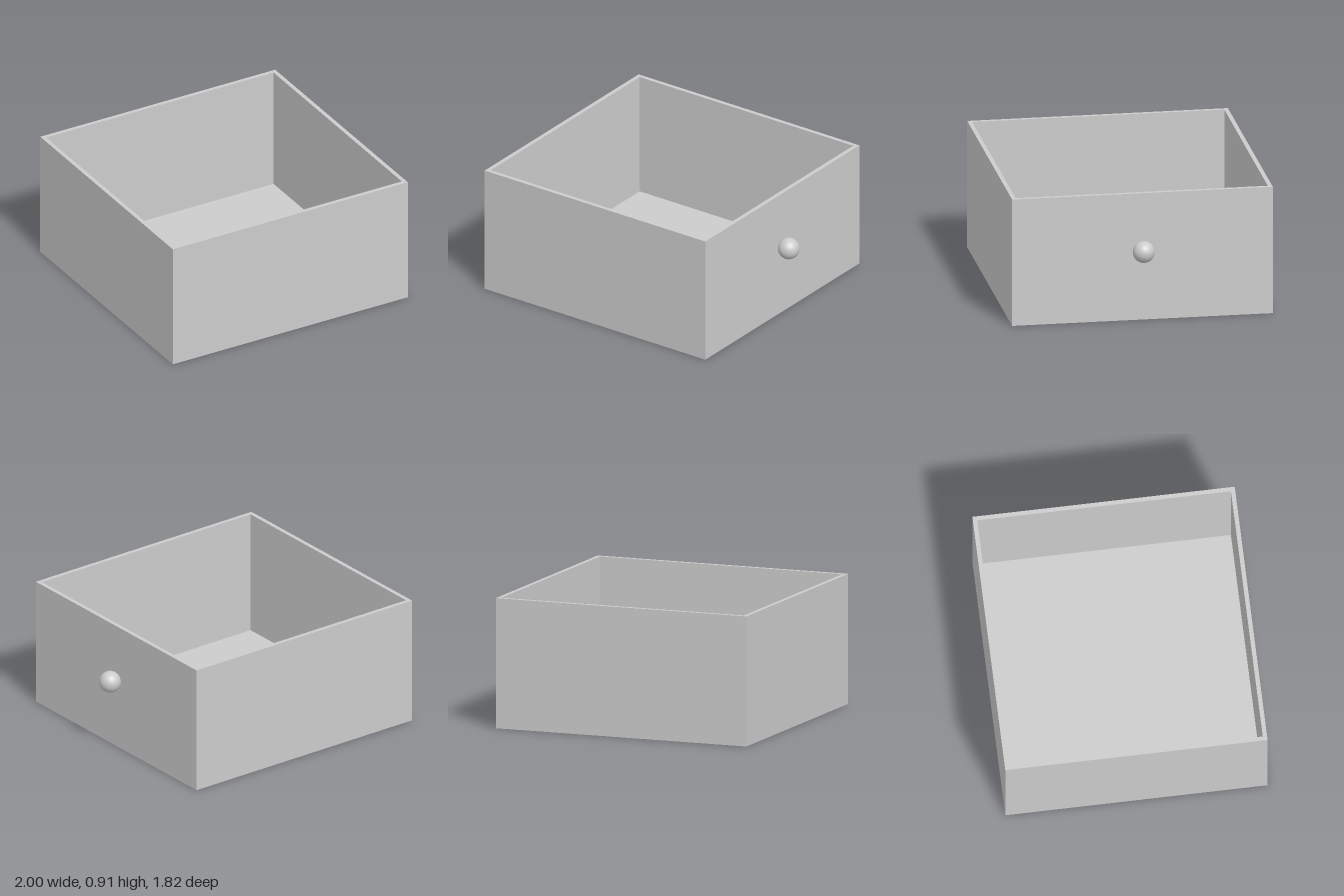
import * as THREE from 'three';

const X0 = -1, X1 = 0.87, Z = 0.91, HEIGHT = 0.91, WALL = 0.03;

// Rectangle corners, inset from the outer footprint
function footprint(inset) {
  return [
    new THREE.Vector2(X0 + inset, -Z + inset),
    new THREE.Vector2(X1 - inset, -Z + inset),
    new THREE.Vector2(X1 - inset, Z - inset),
    new THREE.Vector2(X0 + inset, Z - inset),
  ];
}

export function createModel() {
  const group = new THREE.Group();
  group.name = 'drawer';
  const material = new THREE.MeshStandardMaterial({ color: 0xcccccc });

  function add(name, geometry, x, y, z) {
    const mesh = new THREE.Mesh(geometry, material);
    mesh.name = name;
    mesh.position.set(x, y, z);
    group.add(mesh);
  }

  // Four thin walls as one hollow frame, standing on the floor panel
  const frame = new THREE.Shape(footprint(0));
  frame.holes.push(new THREE.Path(footprint(WALL)));
  const walls = new THREE.ExtrudeGeometry(frame, { depth: HEIGHT - WALL, bevelEnabled: false });
  walls.rotateX(-Math.PI / 2);
  add('walls', walls, 0, WALL, 0);

  // Floor panel
  add('floor', new THREE.BoxGeometry(X1 - X0, WALL, 2 * Z), (X0 + X1) / 2, WALL / 2, 0);

  // Round knob, slightly sunk into the +x wall
  add('knob', new THREE.SphereGeometry(0.076, 32, 24), 0.924, 0.503, 0);

  return group;
}
